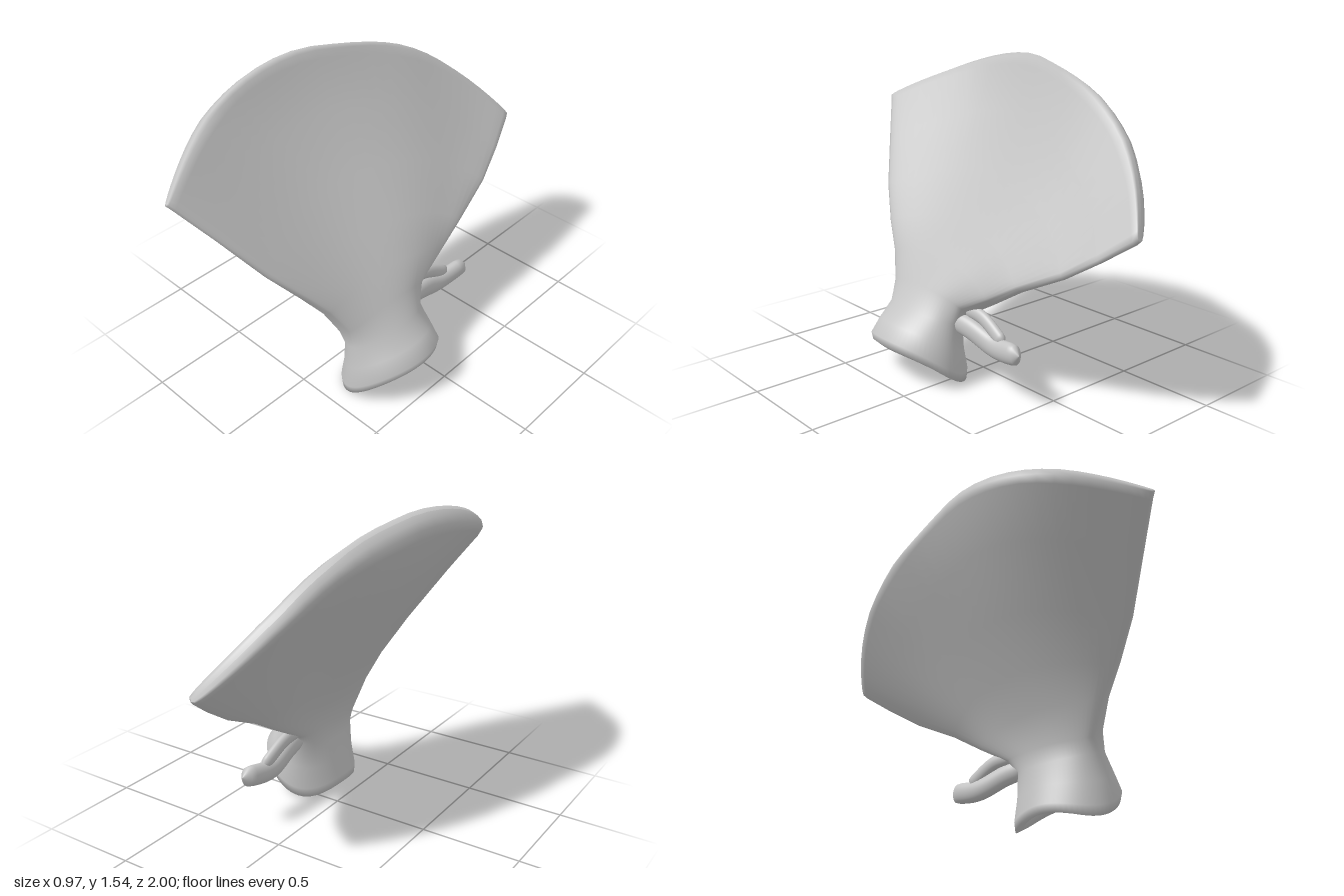
import * as THREE from 'three';

const bone = new THREE.MeshStandardMaterial({ color: 0xc4c4c4, side: THREE.DoubleSide });
bone.name = 'boneGrey';

const N = 64;

// Centre line of the leaning blade: x for a given height
const lean = [[0.3, 0.22], [0.4, 0.2], [0.6, 0.095], [0.8, -0.055], [1, -0.195], [1.24, -0.37], [1.4, -0.465], [1.54, -0.5]];
function leanX(y) {
  let i = 0;
  while (i < lean.length - 2 && y > lean[i + 1][0]) i++;
  const [y0, x0] = lean[i], [y1, x1] = lean[i + 1];
  return x0 + (x1 - x0) * (y - y0) / (y1 - y0);
}

// Tilted oval for the socket and neck, its front and rear lobes sagging
function oval(x, y, z, halfZ, vx, vy, sag = 0) {
  return a => {
    const c = Math.cos(a), s = Math.sin(a);
    return [x + vx * s, y + vy * s - sag * c * c * (1 - 0.8 * s), z + halfZ * c];
  };
}

// Flat, arched section of the fan, from its front edge to its back edge
function fan(zF, yF, zB, yB, arch, curl, thick) {
  return a => {
    const c = Math.cos(a), s = Math.sin(a), t = (1 - c) / 2;
    const rise = arch * (1 - Math.pow(Math.abs(c), c > 0 ? 1.6 : 3));
    const y = yF + (yB - yF) * t + rise;
    const twist = 0.9 * arch * t * t * Math.pow(s, 4);
    const d = thick * Math.sign(s) * Math.pow(Math.abs(s), 0.45);
    return [leanX(y) + curl * c * c + twist + d * 0.84, y + d * 0.55, zF + (zB - zF) * t];
  };
}

// Skin a list of closed rings
function loft(rings) {
  const pos = [], index = [];
  rings.forEach(r => {
    for (let j = 0; j < N; j++) pos.push(...r(j / N * Math.PI * 2));
  });
  for (let i = 0; i < rings.length - 1; i++) {
    for (let j = 0; j < N; j++) {
      const k = (j + 1) % N, a = i * N, b = a + N;
      index.push(a + j, a + k, b + j, a + k, b + k, b + j);
    }
  }
  const g = new THREE.BufferGeometry();
  g.setAttribute('position', new THREE.Float32BufferAttribute(pos, 3));
  g.setIndex(index);
  g.computeVertexNormals();
  return g;
}

// Tube through a few points, rounded at both ends
function rod(points, radius, flatten) {
  const curve = new THREE.CatmullRomCurve3(points.map(p => new THREE.Vector3(...p)));
  const n = 16, side = new THREE.Vector3(1, 0, 0);
  const rings = [];
  for (let i = 0; i <= n; i++) {
    const t = i / n, p = curve.getPointAt(t);
    const r = radius * Math.sqrt(1 - Math.pow(Math.abs(2 * t - 1), 12));
    const up = new THREE.Vector3().crossVectors(curve.getTangentAt(t), side).normalize();
    rings.push(a => p.clone().addScaledVector(side, r * flatten * Math.cos(a))
      .addScaledVector(up, r * Math.sin(a)).toArray());
  }
  return loft(rings);
}

export function createModel() {
  const group = new THREE.Group();
  const add = (name, geometry) => {
    const m = new THREE.Mesh(geometry, bone);
    m.name = name;
    group.add(m);
  };

  // Cup, rim and neck flowing into the broad blade
  add('socketAndBlade', loft([
    oval(0.22, 0.31, 0.17, 0.001, 0.001, 0),
    oval(0.23, 0.28, 0.17, 0.1, 0.07, 0.03),
    oval(0.25, 0.2, 0.17, 0.16, 0.12, 0.05),
    oval(0.27, 0.125, 0.165, 0.18, 0.155, 0.06, 0.02),
    oval(0.275, 0.1, 0.165, 0.215, 0.185, 0.07, 0.05),
    oval(0.275, 0.113, 0.165, 0.258, 0.213, 0.085, 0.07),
    oval(0.278, 0.15, 0.165, 0.268, 0.215, 0.085, 0.06),
    oval(0.262, 0.225, 0.165, 0.25, 0.175, 0.07, 0.03),
    oval(0.23, 0.31, 0.165, 0.235, 0.125, 0.04),
    fan(0.405, 0.39, -0.11, 0.38, 0.03, 0, 0.095),
    fan(0.48, 0.53, -0.28, 0.47, 0.06, 0.03, 0.075),
    fan(0.58, 0.66, -0.45, 0.57, 0.11, 0.07, 0.06),
    fan(0.71, 0.82, -0.68, 0.68, 0.2, 0.11, 0.05),
    fan(0.86, 1.04, -0.84, 0.78, 0.31, 0.14, 0.047),
    fan(0.98, 1.21, -0.98, 0.88, 0.4, 0.16, 0.055),
    fan(1, 1.235, -1, 0.9, 0.42, 0.165, 0.052),
    fan(1, 1.24, -1, 0.9, 0.445, 0.165, 0.03),
    fan(1, 1.24, -1, 0.9, 0.45, 0.165, 0),
  ]));

  // Spur behind the neck and the strut that ties it to the blade
  add('rearSpur', rod([[0.21, 0.32, -0.02], [0.2, 0.3, -0.14], [0.19, 0.255, -0.3], [0.215, 0.28, -0.49]], 0.053, 0.7));
  add('spurStrut', rod([[0.18, 0.38, -0.08], [0.18, 0.37, -0.2], [0.19, 0.29, -0.36]], 0.035, 0.7));

  return group;
}
